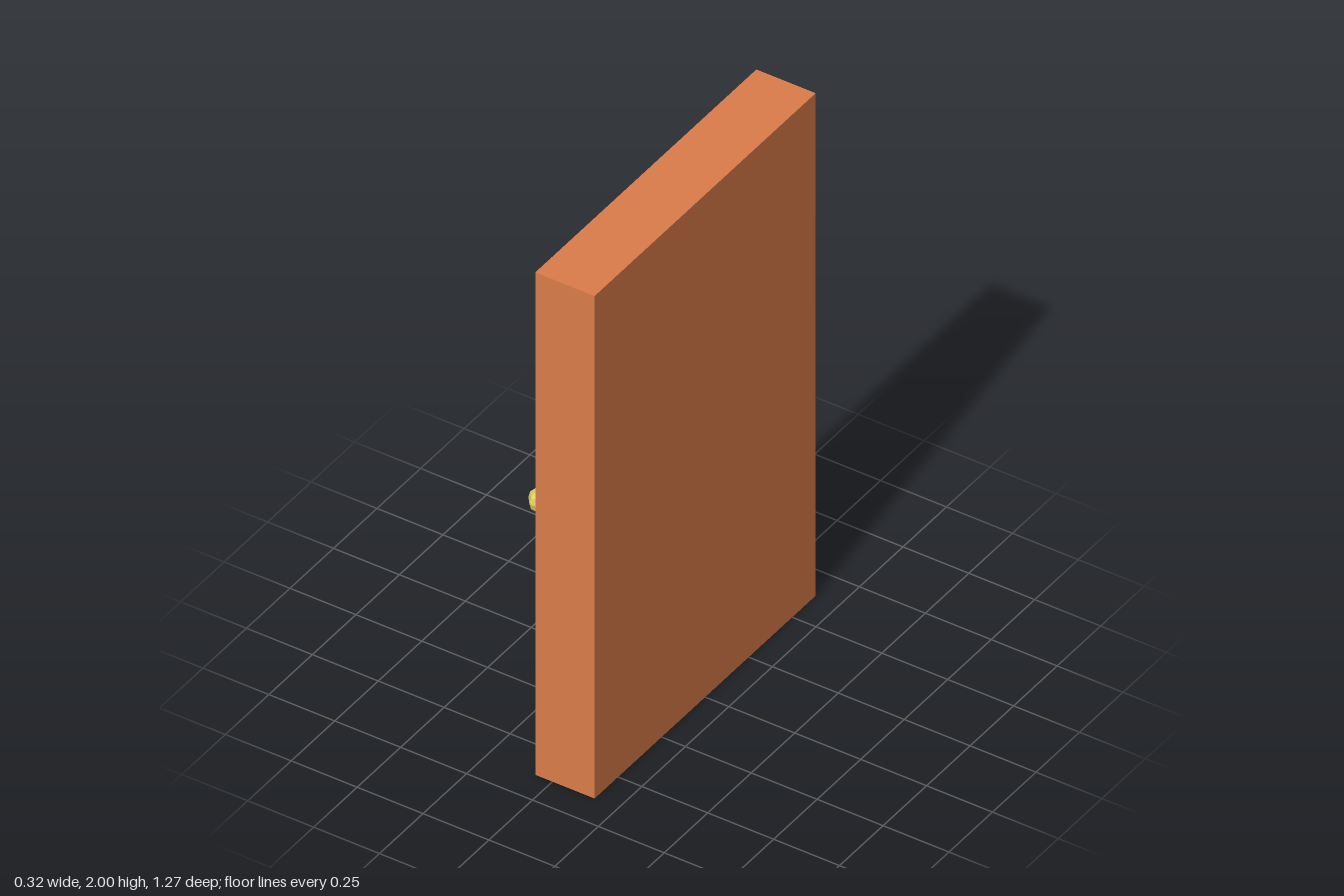
import * as THREE from 'three';

const wood = new THREE.MeshStandardMaterial({ color: 0xdc7d4a, flatShading: true, side: THREE.DoubleSide });
const brass = new THREE.MeshStandardMaterial({ color: 0xe2cf62, flatShading: true });

// Local frame of the door: u across, v up, w out of the panelled face
const HALF = 0.635, TOP = 2, JAMB = 0.035;
const FRAME_W = 0.065, DOOR_W = 0.045, BACK_W = 0.0145, REAR_W = -0.16;
const KICK_TOP = 0.14;

function add(parent, name, geometry, material) {
  const mesh = new THREE.Mesh(geometry, material);
  mesh.name = name;
  parent.add(mesh);
  return mesh;
}

function block(parent, name, u0, u1, v0, v1, w0, w1) {
  const mesh = add(parent, name, new THREE.BoxGeometry(u1 - u0, v1 - v0, w1 - w0), wood);
  mesh.position.set((u0 + u1) / 2, (v0 + v1) / 2, (w0 + w1) / 2);
  return mesh;
}

// Rectangular rings joined by sloping faces, closed by a flat field
function raisedPanel([u0, u1, v0, v1]) {
  const rings = [[0, 0, DOOR_W], [0.041, 0.085, 0.015], [0.083, 0.15, DOOR_W]];
  const points = [], index = [];
  for (const [du, dv, w] of rings) {
    points.push(u0 + du, v0 + dv, w, u1 - du, v0 + dv, w, u1 - du, v1 - dv, w, u0 + du, v1 - dv, w);
  }
  for (let r = 0; r < rings.length - 1; r++) {
    for (let i = 0; i < 4; i++) {
      const a = r * 4 + i, b = r * 4 + (i + 1) % 4;
      index.push(a, b, b + 4, a, b + 4, a + 4);
    }
  }
  index.push(8, 9, 10, 8, 10, 11);
  const geometry = new THREE.BufferGeometry();
  geometry.setAttribute('position', new THREE.Float32BufferAttribute(points, 3));
  geometry.setIndex(index);
  const flat = geometry.toNonIndexed();
  flat.computeVertexNormals();
  return flat;
}

function rectangle(path, u0, u1, v0, v1) {
  return path.moveTo(u0, v0).lineTo(u1, v0).lineTo(u1, v1).lineTo(u0, v1).closePath();
}

export function createModel() {
  const model = new THREE.Group();
  model.name = 'door';
  const door = new THREE.Group();
  door.name = 'doorAssembly';
  door.rotation.y = -Math.PI / 2; // panelled face looks towards -x
  model.add(door);

  // Solid body and the surrounding frame
  const inner = HALF - JAMB;
  block(door, 'body', -HALF, HALF, 0, TOP, REAR_W, BACK_W);
  block(door, 'rightJamb', -HALF, -inner, 0, TOP, BACK_W, FRAME_W);
  block(door, 'leftJamb', inner, HALF, 0, TOP, BACK_W, FRAME_W);
  block(door, 'lintel', -inner, inner, TOP - JAMB, TOP, BACK_W, FRAME_W);

  // Door face with four panel openings
  const face = rectangle(new THREE.Shape(), -inner, inner, KICK_TOP, TOP - JAMB);
  const panels = [];
  for (const [u0, u1] of [[-0.546, -0.049], [0.049, 0.546]]) {
    for (const [v0, v1] of [[0.53, 0.925], [1.09, 1.895]]) panels.push([u0, u1, v0, v1]);
  }
  face.holes = panels.map((p) => rectangle(new THREE.Path(), ...p));
  add(door, 'doorFace', new THREE.ShapeGeometry(face), wood).position.z = DOOR_W;
  for (const p of panels) add(door, 'raisedPanel', raisedPanel(p), wood);

  // Foot of the door, sloping inwards towards the floor
  const kick = new THREE.PlaneGeometry(inner * 2, Math.hypot(KICK_TOP, 0.03));
  kick.rotateX(Math.atan2(0.03, KICK_TOP));
  kick.translate(0, KICK_TOP / 2, DOOR_W - 0.015);
  add(door, 'slopingFoot', kick, wood);

  // Knob with its plate and neck
  const knob = new THREE.Group();
  knob.name = 'knob';
  knob.position.set(0.52, 1, 0);
  door.add(knob);
  const turned = (name, radius, w0, w1) => {
    const geometry = new THREE.CylinderGeometry(radius, radius, w1 - w0, 8);
    geometry.rotateX(Math.PI / 2);
    add(knob, name, geometry, brass).position.z = (w0 + w1) / 2;
  };
  turned('knobPlate', 0.048, DOOR_W - 0.005, 0.068);
  turned('knobNeck', 0.03, 0.06, 0.1);
  add(knob, 'knobBall', new THREE.SphereGeometry(0.045, 7, 6), brass).position.z = 0.117;

  return model;
}
